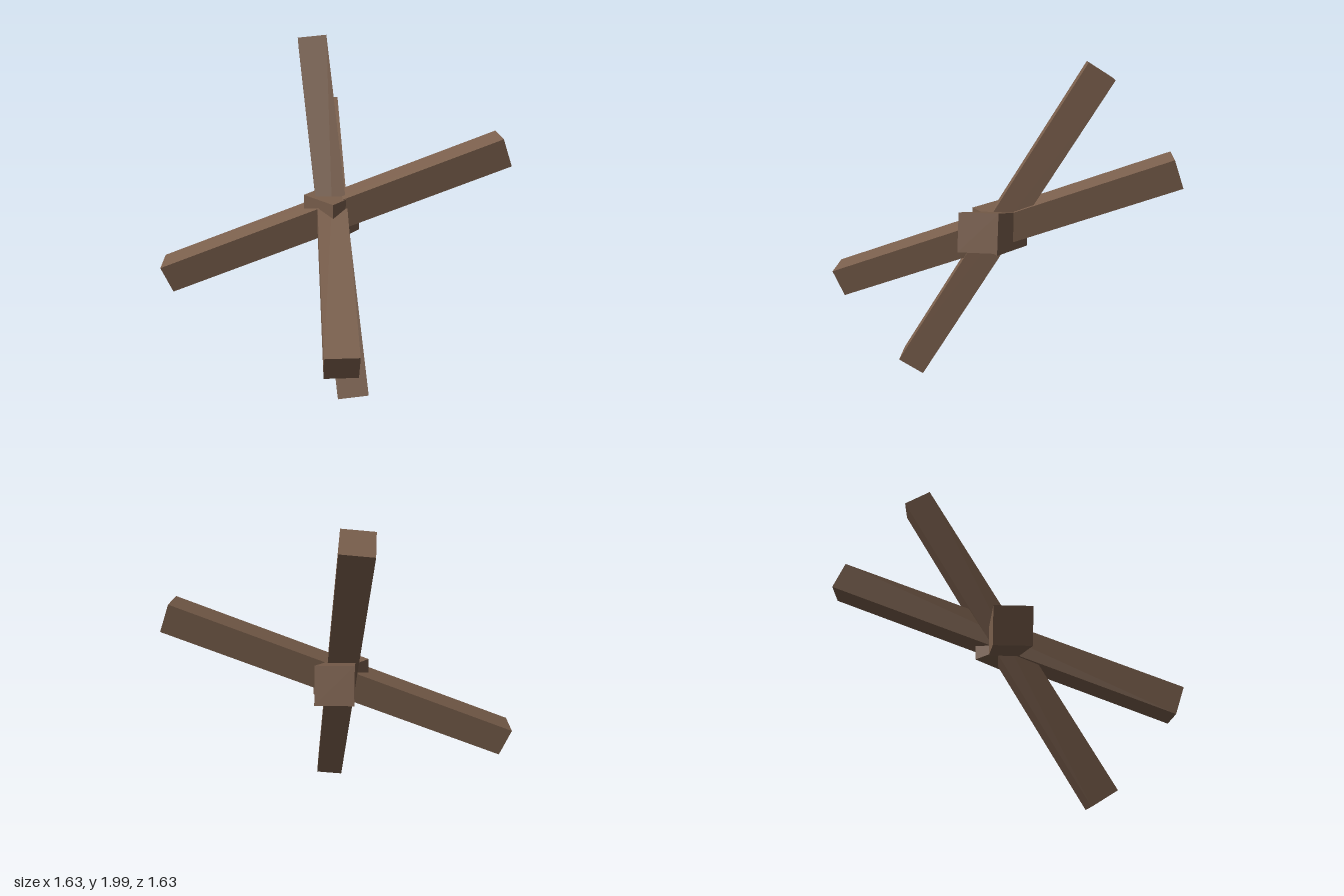
import * as THREE from 'three';

export function createModel() {
  const model = new THREE.Group();
  model.name = 'crossedBeams';
  const wood = new THREE.MeshStandardMaterial({ color: 0x7a5f4c, flatShading: true });

  // square beam through the centre: axis gives its length direction, side its roll
  function addBeam(name, axis, side) {
    const y = new THREE.Vector3(...axis).normalize();
    const z = new THREE.Vector3(...side).cross(y).normalize();
    const x = new THREE.Vector3().crossVectors(y, z);
    const beam = new THREE.Mesh(new THREE.BoxGeometry(0.18, 2.21, 0.18), wood);
    beam.quaternion.setFromRotationMatrix(new THREE.Matrix4().makeBasis(x, y, z));
    beam.position.y = 1;
    beam.name = name;
    model.add(beam);
  }

  // two mirrored leaning beams and one steep beam
  addBeam('leftLeaningBeam', [1, -0.546, 1], [1, 0, -1]);
  addBeam('rightLeaningBeam', [-1, -0.546, 1], [1, 0, 1]);
  addBeam('steepBeam', [-0.471, 0.945, -0.333], [-0.125, -0.015, 0.13]);

  // block where the beams meet
  const hub = new THREE.Mesh(new THREE.BoxGeometry(0.24, 0.24, 0.24), wood);
  hub.position.y = 1;
  hub.name = 'hub';
  model.add(hub);

  return model;
}
